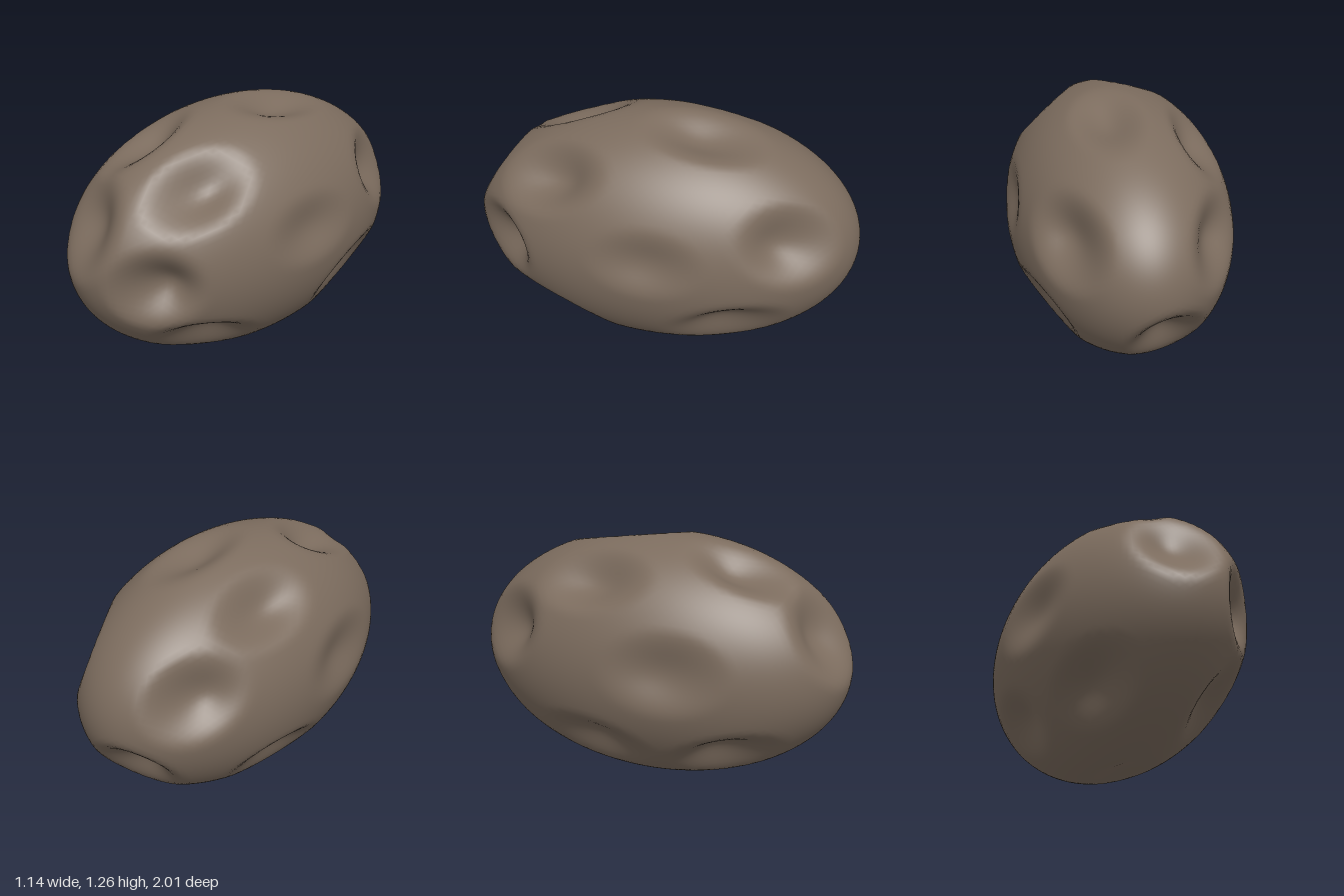
import * as THREE from 'three';
import { mergeVertices } from 'three/addons/utils/BufferGeometryUtils.js';

// Half-sizes of the rock along x, y, z
const RADII = new THREE.Vector3(0.573, 0.635, 1.005);

// Craters: centre relative to the middle of the rock, radius and depth on the unit sphere
const CRATERS = [
  // front end
  [-0.08, 0.21, 0.93, 0.44, 0.14],
  [0.31, -0.03, 0.83, 0.36, 0.17],
  [0.30, 0.39, 0.53, 0.36, 0.16],
  [-0.14, 0.51, 0.48, 0.35, 0.15],
  [-0.33, -0.43, 0.50, 0.36, 0.15],
  [0.30, -0.40, 0.51, 0.37, 0.15],
  // flanks, top and underside
  [0.08, 0.60, -0.21, 0.36, 0.13],
  [0.55, 0.11, 0.00, 0.31, 0.09],
  [0.45, -0.31, -0.43, 0.37, 0.13],
  [-0.53, 0.05, 0.22, 0.36, 0.11],
  [-0.36, 0.44, -0.23, 0.35, 0.15],
  [-0.42, -0.38, -0.20, 0.34, 0.12],
  [0.09, -0.60, -0.08, 0.33, 0.07],
  // back end
  [0.35, 0.19, -0.69, 0.38, 0.15],
  [-0.35, 0.15, -0.74, 0.38, 0.15],
  [-0.08, -0.28, -0.88, 0.39, 0.15],
].map(([x, y, z, radius, depth]) => ({
  dir: new THREE.Vector3(x, y, z).divide(RADII).normalize(), radius, depth,
}));

// Press soft-rimmed bowls into a sphere proportioned as a long rock
function rockGeometry() {
  const ico = new THREE.IcosahedronGeometry(1, 24);
  ico.deleteAttribute('uv');
  ico.deleteAttribute('normal');
  const geo = mergeVertices(ico, 1e-5);
  const pos = geo.attributes.position;
  const p = new THREE.Vector3();
  for (let i = 0; i < pos.count; i++) {
    p.fromBufferAttribute(pos, i).normalize();
    let r = 1;
    for (const c of CRATERS) {
      const d = Math.min(p.distanceTo(c.dir) / c.radius, 1);
      r -= c.depth * (1 - d * d) ** 2;
    }
    p.multiplyScalar(r).multiply(RADII);
    pos.setXYZ(i, p.x, p.y, p.z);
  }
  // Centre it and stand it on the ground
  geo.center();
  geo.computeBoundingBox();
  geo.translate(0, -geo.boundingBox.min.y, 0);
  geo.computeVertexNormals();
  return geo;
}

export function createModel() {
  const group = new THREE.Group();
  group.name = 'asteroid';
  const rock = new THREE.Mesh(rockGeometry(), new THREE.MeshStandardMaterial({ color: 0x7c6c5e }));
  rock.name = 'crateredRock';
  group.add(rock);
  return group;
}
